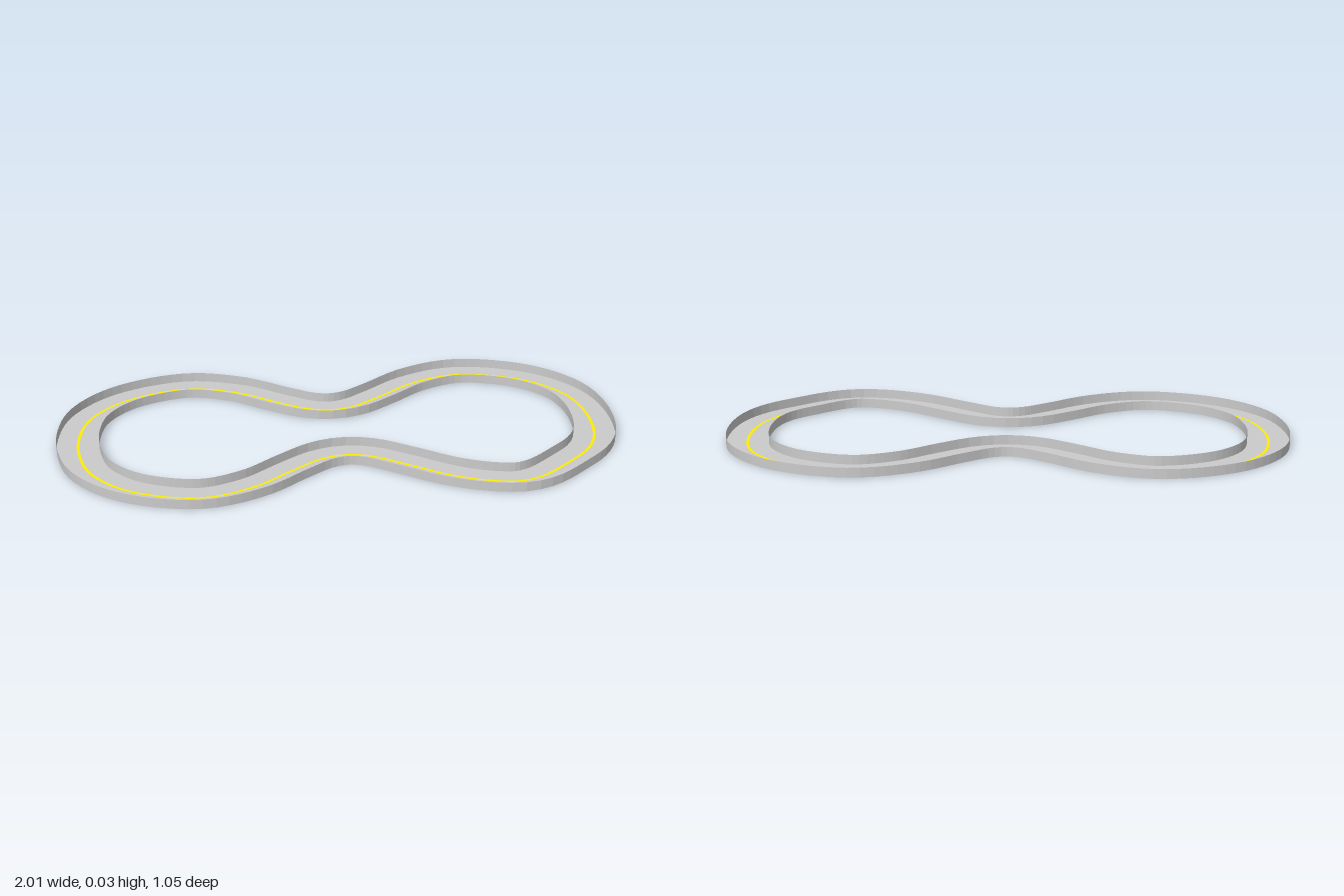
import * as THREE from 'three';

const SEGMENTS = 144, HALF_WIDTH = 0.075, WALL_HEIGHT = 0.034, Z_MID = -0.013;

// Quarter of the centre line, from the end of the loop to the waist
const quarter = [
  [0.925, 0.07], [0.882, 0.225], [0.75, 0.367], [0.52, 0.441],
  [0.34, 0.387], [0.19, 0.277], [0.085, 0.207], [0, 0.187],
];
// The front left bend is tighter than the others
const tightBend = [
  [0.085, 0.194], [0.19, 0.265], [0.34, 0.375], [0.46, 0.43],
  [0.57, 0.448], [0.65, 0.422], [0.76, 0.335], [0.86, 0.235], [0.912, 0.12],
];

function centreLine() {
  const place = (sx, sz) => quarter.map(([x, z]) => [sx * x, sz * z + Z_MID]);
  const points = [
    ...place(1, -1),
    ...place(-1, -1).reverse().slice(1),
    ...place(-1, 1),
    ...tightBend,
  ].map(([x, z]) => new THREE.Vector3(x, 0, z));
  return new THREE.CatmullRomCurve3(points, true, 'centripetal');
}

// Closed strip between two rails, each given as [sideways offset, height]
function ribbon(curve, railA, railB) {
  const positions = [], index = [];
  for (let i = 0; i <= SEGMENTS; i++) {
    const t = (i % SEGMENTS) / SEGMENTS;
    const p = curve.getPointAt(t), d = curve.getTangentAt(t);
    for (const [offset, y] of [railA, railB]) {
      positions.push(p.x + d.z * -offset, y, p.z + d.x * offset);
    }
    if (i < SEGMENTS) {
      const a = i * 2;
      index.push(a, a + 1, a + 2, a + 1, a + 3, a + 2);
    }
  }
  const geometry = new THREE.BufferGeometry();
  geometry.setAttribute('position', new THREE.Float32BufferAttribute(positions, 3));
  geometry.setIndex(index);
  geometry.computeVertexNormals();
  return geometry;
}

export function createModel() {
  const group = new THREE.Group();
  group.name = 'raceTrack';
  const curve = centreLine();
  curve.arcLengthDivisions = 800;
  const grey = new THREE.MeshStandardMaterial({ color: 0xcccccc, flatShading: true, side: THREE.DoubleSide });
  const yellow = new THREE.MeshStandardMaterial({ color: 0xffee00, side: THREE.DoubleSide });

  const add = (name, railA, railB, material) => {
    const mesh = new THREE.Mesh(ribbon(curve, railA, railB), material);
    mesh.name = name;
    group.add(mesh);
  };

  // Road bed with a thin upright wall along each edge
  add('road', [HALF_WIDTH, 0], [-HALF_WIDTH, 0], grey);
  add('innerWall', [-HALF_WIDTH, 0], [-HALF_WIDTH, WALL_HEIGHT], grey);
  add('outerWall', [HALF_WIDTH, WALL_HEIGHT], [HALF_WIDTH, 0], grey);
  // Painted line just above the road
  add('centreLine', [0.005, 0.001], [-0.005, 0.001], yellow);
  return group;
}
